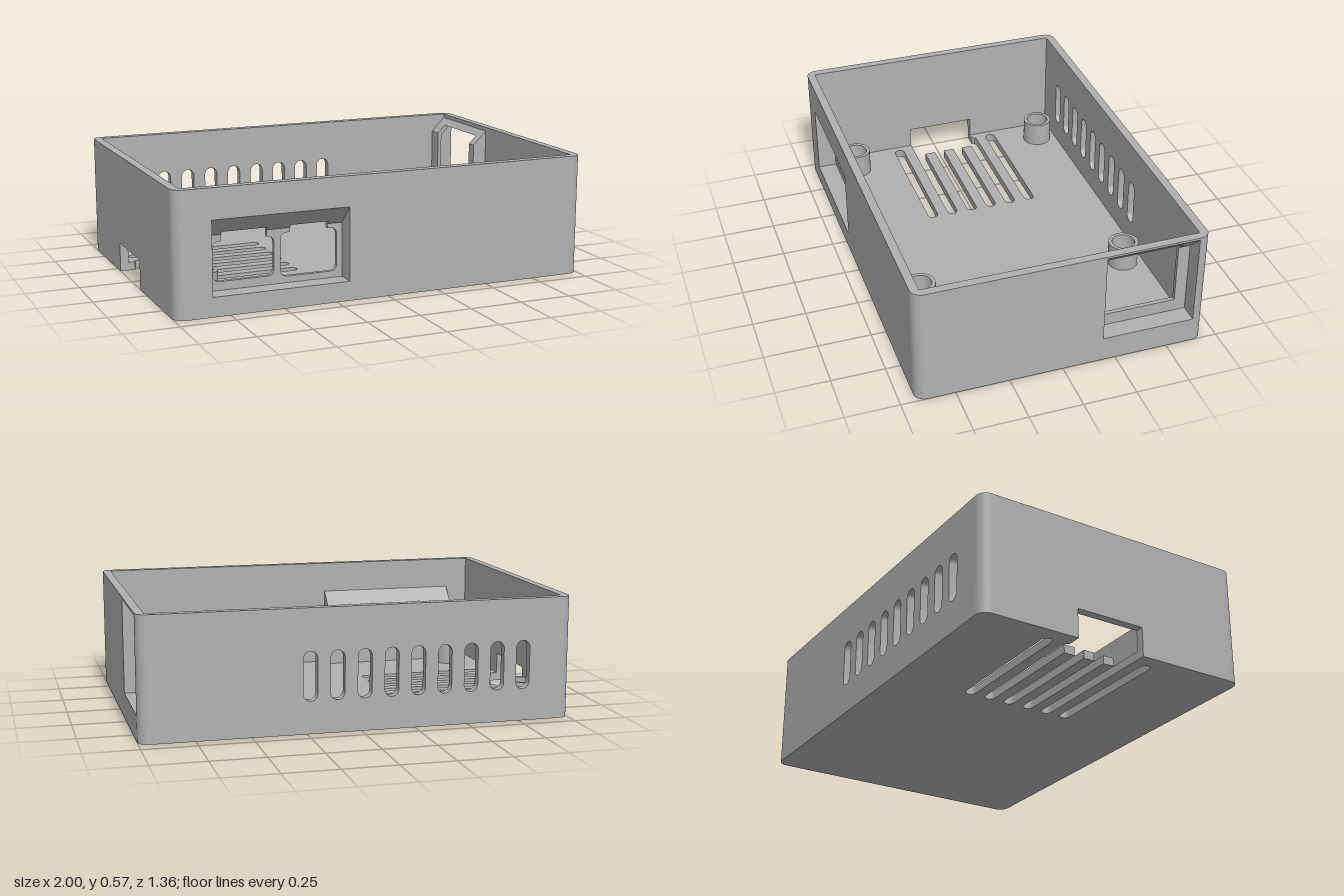
import * as THREE from 'three';
import { toCreasedNormals } from 'three/addons/utils/BufferGeometryUtils.js';

const W = 1, D = 0.68, H = 0.57, T = 0.04, R = 0.05; // half width, half depth, height, wall, corner radius
const grey = new THREE.MeshStandardMaterial({ color: 0xb0b0b0 });
grey.name = 'grey plastic';

function add(parent, name, geo) {
  const mesh = new THREE.Mesh(toCreasedNormals(geo, 0.5), grey);
  mesh.name = name;
  parent.add(mesh);
  return mesh;
}
const extrude = (shape, depth) =>
  new THREE.ExtrudeGeometry(shape, { depth, bevelEnabled: false, curveSegments: 10 });
// Plan shape (x, z) raised from y0 to y1
const slab = (shape, y0, y1) => extrude(shape, y1 - y0).rotateX(Math.PI / 2).translate(0, y1, 0);
const poly = pts => new THREE.Shape(pts.map(p => new THREE.Vector2(p[0], p[1])));
const rect = (a, b, c, d) => poly([[a, c], [b, c], [b, d], [a, d]]);

function capsule(x0, x1, y0, y1) {
  const s = new THREE.Path();
  if (x1 - x0 > y1 - y0) {
    const r = (y1 - y0) / 2, y = (y0 + y1) / 2;
    s.absarc(x1 - r, y, r, -Math.PI / 2, Math.PI / 2);
    s.absarc(x0 + r, y, r, Math.PI / 2, Math.PI * 1.5);
  } else {
    const r = (x1 - x0) / 2, x = (x0 + x1) / 2;
    s.absarc(x, y1 - r, r, 0, Math.PI);
    s.absarc(x, y0 + r, r, Math.PI, Math.PI * 2);
  }
  s.closePath();
  return s;
}

// Floor with ventilation slots; the middle ones run into the edge cut-out
function floorShape() {
  const s = new THREE.Shape(), q = Math.PI / 2, r = 0.025, xEnd = -0.285;
  const slotZ = i => -0.3 + 0.1036 * i;
  s.moveTo(-W, -0.2);
  s.lineTo(-0.93, -0.2);
  s.lineTo(-0.922, slotZ(1) - 0.018);
  s.lineTo(-0.905, slotZ(1) - r);
  for (let i = 1; i <= 4; i++) {
    if (i > 1) s.lineTo(-0.85, slotZ(i) - r);
    s.absarc(xEnd, slotZ(i), r, -q, q, false);
    if (i < 4) s.lineTo(-0.85, slotZ(i) + r);
  }
  s.lineTo(-W, slotZ(4) + r);
  s.absarc(-W + R, D - R, R, 2 * q, q, true);
  s.absarc(W - R, D - R, R, q, 0, true);
  s.absarc(W - R, -D + R, R, 0, -q, true);
  s.absarc(-W + R, -D + R, R, -q, -2 * q, true);
  s.closePath();
  for (const i of [0, 5]) s.holes.push(capsule(-0.93, -0.26, slotZ(i) - r, slotZ(i) + r));
  return s;
}

// Rounded outer corner, square on the inside
function cornerShape(sx, sz) {
  const pts = [[W - R, D - T], [W - R, D]];
  for (let i = 1; i <= 8; i++) {
    const a = Math.PI / 2 * (1 - i / 8);
    pts.push([W - R + R * Math.cos(a), D - R + R * Math.sin(a)]);
  }
  pts.push([W - T, D - R], [W - T, D - T]);
  return poly(pts.map(p => [p[0] * sx, p[1] * sz]));
}

// Recessed connector bay in local space: x along the wall, z = 0 the outer face.
// ports: {a, b, y0, y1, r} opening plus [n0, n1] notch that cuts the hood up to top - n
function connectorBay(name, u0, u1, y0, top, n, ports) {
  const g = new THREE.Group();
  g.name = name;
  const low = top - 0.09;

  // Port plate, open at the notches
  const s = new THREE.Shape();
  s.moveTo(u0, T);
  s.lineTo(u0, low);
  for (const p of ports) {
    s.lineTo(p.n0, low);
    if (p.r) {
      const { a, b, r } = p;
      s.lineTo(p.n0, p.y1);
      s.lineTo(a + r, p.y1);
      s.quadraticCurveTo(a, p.y1, a, p.y1 - r);
      s.lineTo(a, p.y0 + r);
      s.quadraticCurveTo(a, p.y0, a + r, p.y0);
      s.lineTo(b - r, p.y0);
      s.quadraticCurveTo(b, p.y0, b, p.y0 + r);
      s.lineTo(b, p.y1 - r);
      s.quadraticCurveTo(b, p.y1, b - r, p.y1);
      s.lineTo(p.n1, p.y1);
    } else {
      s.lineTo(p.n0, p.y0);
      s.lineTo(p.n1, p.y0);
    }
    s.lineTo(p.n1, low);
  }
  s.lineTo(u1, low);
  s.lineTo(u1, T);
  s.closePath();
  add(g, 'portPlate', extrude(s, 0.02).translate(0, 0, -0.11));

  // Profile in (z, y) swept along x
  const sweep = (label, pts, x0, x1) => add(g, label,
    extrude(poly(pts.map(p => [-p[0], p[1]])), x1 - x0).rotateY(Math.PI / 2).translate(x0, 0, 0));
  const hood = [[-0.09, low], [0, top], [-T, top], [-T, top - 0.01], [-0.11, top - 0.08], [-0.11, low]];
  const cutHood = [[-n, top - n], [0, top], [-T, top], [-T, top - 0.01], [-0.03 - n, top - n]];
  let x = u0;
  for (const p of ports) {
    sweep('hood', hood, x, p.n0);
    sweep('notchedHood', cutHood, p.n0, p.n1);
    x = p.n1;
  }
  sweep('hood', hood, x, u1);

  // Cheeks and sill
  const cheek = [[-0.11, T], [-T, T], [-T, top - 0.01], [-0.11, top - 0.08]];
  sweep('cheek', cheek, u0 - 0.02, u0);
  sweep('cheek', cheek, u1, u1 + 0.02);
  sweep('sill', [[-0.09, T], [-T, T], [-T, y0], [-0.09, y0]], u0, u1);
  return g;
}

export function createModel() {
  const model = new THREE.Group();
  model.name = 'deviceEnclosure';
  add(model, 'floor', slab(floorShape(), 0, T));
  for (const sx of [-1, 1]) for (const sz of [-1, 1])
    add(model, 'corner', slab(cornerShape(sx, sz), T, H));

  // Front wall
  const front = rect(-W + R, W - R, T, H);
  front.holes.push(rect(-0.83, -0.19, 0.09, 0.43));
  add(model, 'frontWall', extrude(front, T).translate(0, 0, D - T));

  // Back wall with upright vents
  const back = rect(-W + R, W - R, T, H);
  for (let i = 0; i < 9; i++) {
    const x = -0.765 + 0.125 * i;
    back.holes.push(capsule(x - 0.0325, x + 0.0325, 0.15, 0.375));
  }
  add(model, 'backWall', extrude(back, T).translate(0, 0, -D));

  // Side walls, drawn in (-z, y)
  const side = rect(-D + R, D - R, T, H);
  side.holes.push(rect(0.19, 0.625, 0.12, 0.56));
  add(model, 'leftWall', extrude(side, T).rotateY(Math.PI / 2).translate(W - T, 0, 0));
  const notched = poly([[-D + R, T], [-0.14, T], [-0.14, 0.14], [0.2, 0.14], [0.2, T],
    [D - R, T], [D - R, H], [-D + R, H]]);
  add(model, 'rightWall', extrude(notched, T).rotateY(Math.PI / 2).translate(-W, 0, 0));

  // Connector bays
  const frontBay = connectorBay('frontConnectorBay', -0.83, -0.19, 0.09, 0.43, 0.075, [
    { a: -0.8, b: -0.515, y0: 0.13, y1: 0.31, r: 0.035, n0: -0.76, n1: -0.55 },
    { a: -0.485, b: -0.215, y0: 0.12, y1: 0.32, r: 0.035, n0: -0.44, n1: -0.26 },
  ]);
  frontBay.position.z = D;
  const sideBay = connectorBay('sideConnectorBay', 0.19, 0.625, 0.12, 0.56, 0.04, [
    { y0: 0.18, n0: 0.22, n1: 0.57 },
  ]);
  sideBay.rotation.y = Math.PI / 2;
  sideBay.position.x = W;
  model.add(frontBay, sideBay);

  // Hollow board standoffs
  const ring = [[0.072, T], [0.072, 0.16], [0.055, 0.16], [0.055, T]].map(p => new THREE.Vector2(...p));
  for (const x of [-0.815, 0.395]) for (const z of [-0.54, 0.48])
    add(model, 'standoff', new THREE.LatheGeometry(ring, 32)).position.set(x, 0, z);

  return model;
}
